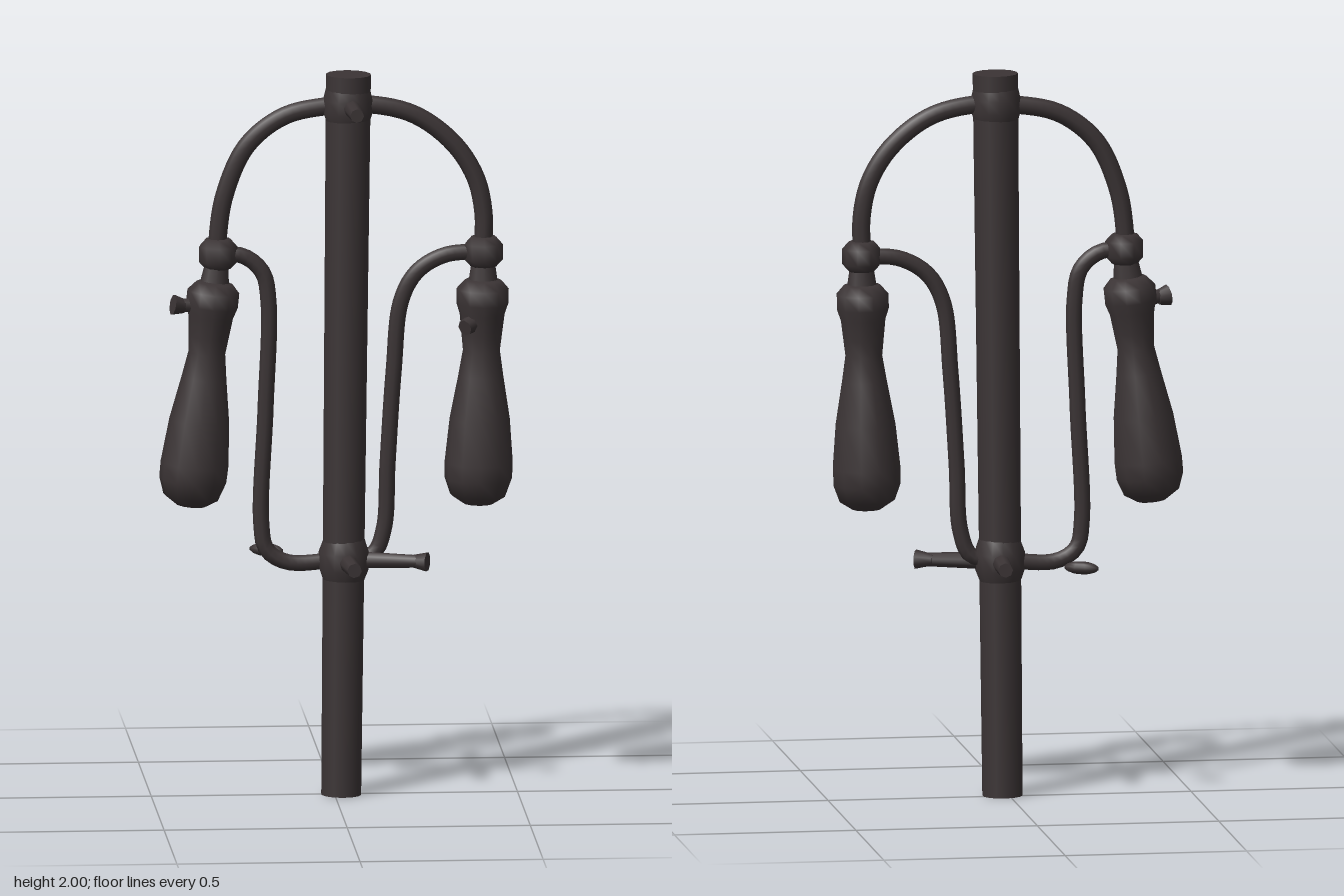
import * as THREE from 'three';

const V = (x, y, z = 0) => new THREE.Vector3(x, y, z);
const iron = new THREE.MeshStandardMaterial({ color: 0x3b3435 });
iron.name = 'dark iron';

export function createModel() {
  const group = new THREE.Group();
  group.name = 'twinHangingLamp';

  const add = (name, geometry, parent = group) => {
    const mesh = new THREE.Mesh(geometry, iron);
    mesh.name = name;
    parent.add(mesh);
    return mesh;
  };

  // Tapered rod between two points
  const rod = (name, a, b, ra, rb = ra, sides = 8) => {
    const m = add(name, new THREE.CylinderGeometry(rb, ra, a.distanceTo(b), sides));
    m.position.copy(a).lerp(b, 0.5);
    m.quaternion.setFromUnitVectors(V(0, 1), b.clone().sub(a).normalize());
    return m;
  };

  // Turned part whose axis runs from a to b; profile is [radius, distance from a]
  const turned = (name, a, b, profile, sides = 12) => {
    const pts = profile.map(([r, d]) => new THREE.Vector2(r, d));
    const m = add(name, new THREE.LatheGeometry(pts, sides));
    m.position.copy(a);
    m.quaternion.setFromUnitVectors(V(0, 1), b.clone().sub(a).normalize());
    return m;
  };

  // Bent pipe through x, y points
  const pipe = (name, points, r) => add(name, new THREE.TubeGeometry(
    new THREE.CatmullRomCurve3(points.map(([x, y]) => V(x, y, 0.005)), false, 'centripetal'), 56, r, 8));

  // Pole, leaning very slightly
  rod('pole', V(0.018, 0.005, 0.01), V(0.038, 2, 0.008), 0.055, 0.062, 14);

  // Arch over the top
  pipe('arch', [[-0.32, 1.5], [-0.318, 1.56], [-0.30, 1.67], [-0.24, 1.805], [-0.14, 1.885], [-0.02, 1.912],
    [0.10, 1.915], [0.22, 1.885], [0.325, 1.805], [0.385, 1.71], [0.407, 1.61], [0.405, 1.5]], 0.025);

  // Lower braces
  pipe('rightBrace', [[-0.32, 1.505], [-0.25, 1.5], [-0.197, 1.455], [-0.18, 1.37], [-0.188, 1.08],
    [-0.2, 0.76], [-0.185, 0.685], [-0.13, 0.65], [0.02, 0.655]], 0.022);
  pipe('leftBrace', [[0.405, 1.505], [0.3, 1.495], [0.225, 1.45], [0.182, 1.37], [0.162, 1.18],
    [0.145, 0.92], [0.135, 0.74], [0.105, 0.67], [0.02, 0.655]], 0.022);

  // Pole collars
  turned('lowerCollar', V(0.024, 0.595, 0.009), V(0.027, 0.72, 0.009),
    [[0.055, 0], [0.068, 0.035], [0.07, 0.08], [0.056, 0.12]], 14);
  turned('upperCollar', V(0.036, 1.87, 0.008), V(0.037, 1.96, 0.008),
    [[0.06, 0], [0.068, 0.025], [0.068, 0.06], [0.061, 0.09]], 14);

  // Pegs round the collars
  rod('upperFrontPeg', V(0.04, 1.915, 0), V(0.05, 1.915, 0.175), 0.026, 0.019);
  rod('lowerFrontPeg', V(0.027, 0.655, 0), V(0.043, 0.655, 0.177), 0.027, 0.02);
  rod('lowerBackPeg', V(0.027, 0.655, 0), V(0.036, 0.655, -0.166), 0.027, 0.02);
  rod('sidePeg', V(0.03, 0.655, 0.005), V(0.235, 0.655, 0.052), 0.026, 0.018);
  rod('sidePegTip', V(0.205, 0.655, 0.04), V(0.25, 0.655, 0.058), 0.016, 0.027);

  // Detached peg tip behind the pole
  const tip = add('backPegTip', new THREE.SphereGeometry(1, 10, 7));
  tip.scale.set(0.05, 0.018, 0.019);
  tip.position.set(-0.175, 0.655, -0.152);
  tip.rotation.y = -0.45;

  // Joint, neck and lamp at each end of the arch
  const lampProfile = [[0, 0], [0.04, 0.006], [0.077, 0.03], [0.093, 0.075], [0.094, 0.12], [0.083, 0.24],
    [0.062, 0.36], [0.051, 0.43], [0.056, 0.475], [0.062, 0.53], [0.072, 0.56], [0.072, 0.6], [0.05, 0.625], [0, 0.628]];
  const hangLamp = (side, joint, top, bottom) => {
    turned(side + 'Joint', joint.clone().add(V(0, -0.042)), joint.clone().add(V(0, 0.042)),
      [[0, 0], [0.035, 0], [0.053, 0.02], [0.053, 0.062], [0.035, 0.082], [0, 0.084]], 9);
    rod(side + 'Neck', top, joint, 0.04, 0.028, 10);
    turned(side + 'Lamp', bottom, top, lampProfile, 11);
  };
  hangLamp('right', V(-0.318, 1.508, 0.005), V(-0.327, 1.43, 0.007), V(-0.394, 0.805, 0.006));
  hangLamp('left', V(0.407, 1.505, 0.005), V(0.406, 1.427, 0.006), V(0.392, 0.8, 0.006));

  // Tap on one lamp and stub on the other
  rod('rightTap', V(-0.34, 1.365, 0.01), V(-0.425, 1.37, 0.028), 0.022, 0.019);
  rod('rightTapHandle', V(-0.412, 1.366, 0.025), V(-0.443, 1.372, 0.032), 0.02, 0.029);
  rod('leftStub', V(0.4, 1.32, 0.01), V(0.352, 1.303, 0.062), 0.03, 0.022);

  return group;
}
